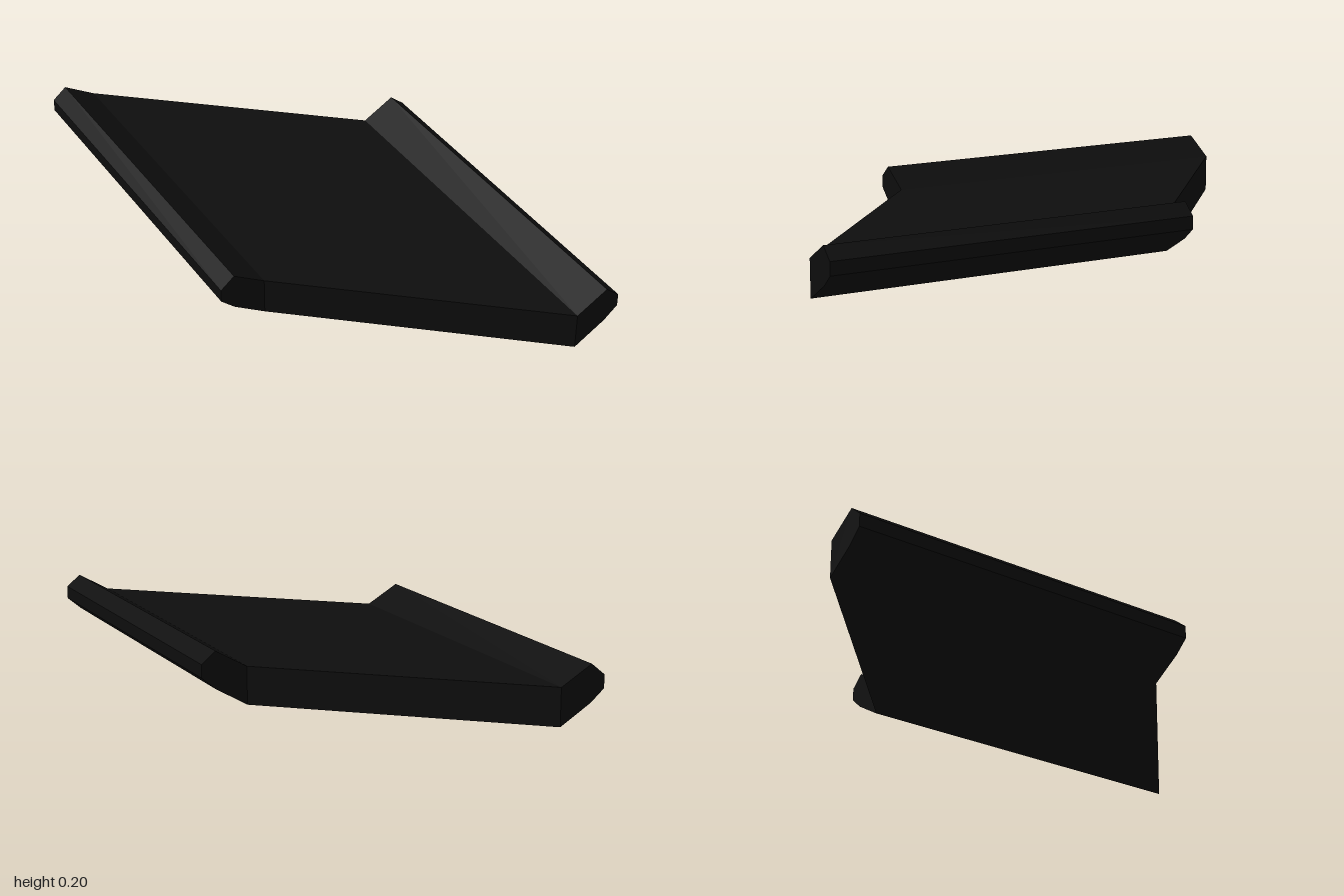
import * as THREE from 'three';

export function createModel() {
  const black = new THREE.MeshStandardMaterial({ color: 0x0d0d0d });
  black.name = 'black';

  // Stations across the width: x, underside y, top y (mirrored to the other side)
  const half = [[0.395, 0, 0.132], [0.508, 0.067, 0.197], [0.558, 0.11, 0.156]];
  const stations = [...half.map(([x, lo, hi]) => [-x, lo, hi]).reverse(), ...half];

  // Four corners per station; the floor is skewed, the raised rims run straight
  const halfLength = 0.66, skew = 0.34;
  const loops = stations.map(([x, lo, hi]) => {
    const zc = Math.sign(x) * skew;
    return [
      [x, lo, zc + halfLength], [x, hi, zc + halfLength],
      [x, hi, zc - halfLength], [x, lo, zc - halfLength],
    ];
  });

  const positions = [];
  const quad = (a, b, c, d) => positions.push(...a, ...b, ...c, ...a, ...c, ...d);

  // Skin between neighbouring stations
  for (let i = 0; i < loops.length - 1; i++) {
    for (let k = 0; k < 4; k++) {
      const n = (k + 1) % 4;
      quad(loops[i][k], loops[i + 1][k], loops[i + 1][n], loops[i][n]);
    }
  }
  // Outer edges of the rims
  quad(...loops[0]);
  quad(...[...loops[loops.length - 1]].reverse());

  const geometry = new THREE.BufferGeometry();
  geometry.setAttribute('position', new THREE.Float32BufferAttribute(positions, 3));
  geometry.computeVertexNormals();

  const plate = new THREE.Mesh(geometry, black);
  plate.name = 'skewedPlateWithRims';

  const group = new THREE.Group();
  group.name = 'skewedTray';
  group.add(plate);
  return group;
}
